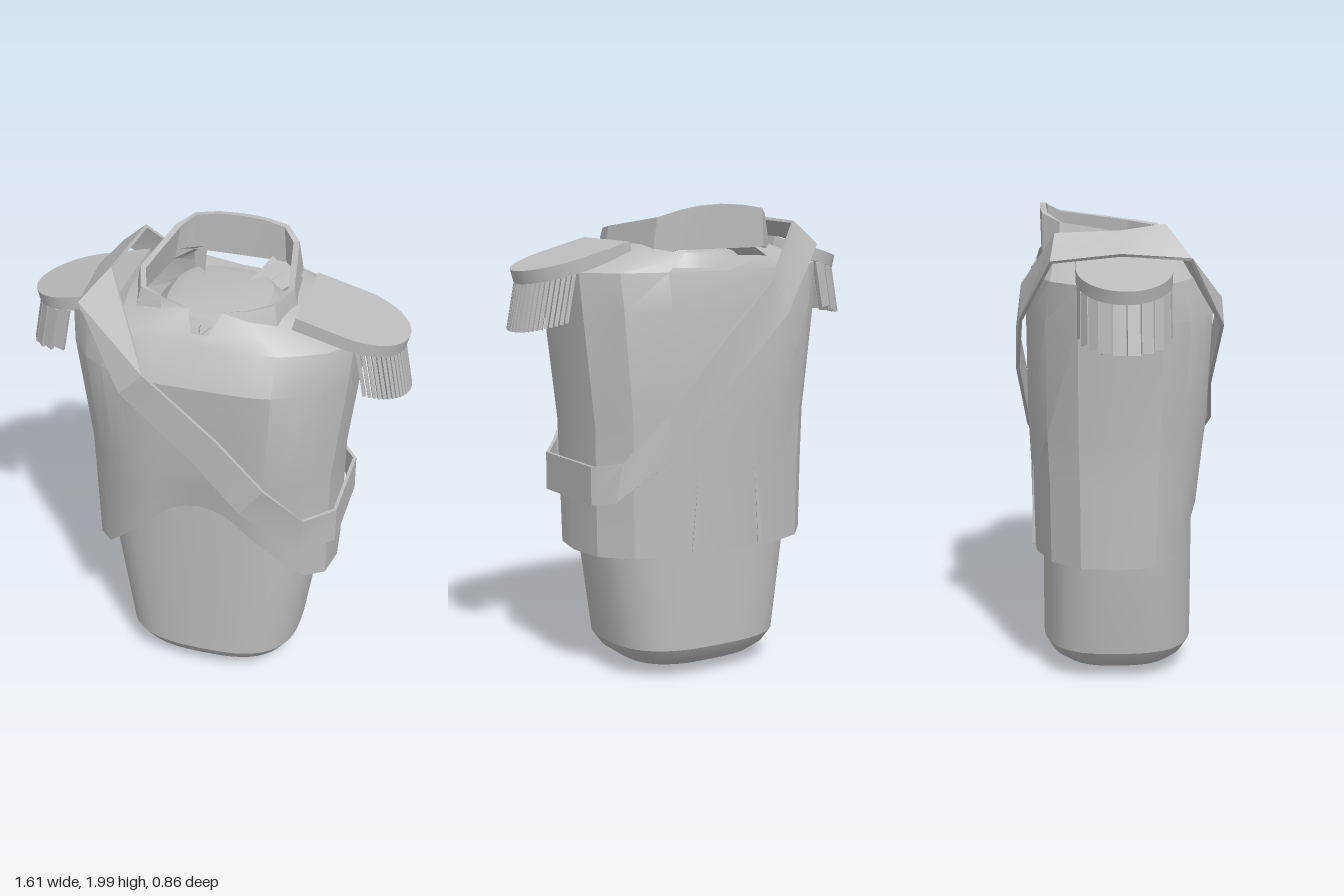
import * as THREE from 'three';
import { toCreasedNormals } from 'three/addons/utils/BufferGeometryUtils.js';

const cloth = new THREE.MeshStandardMaterial({ color: 0xbcbcbc, side: THREE.DoubleSide });
cloth.name = 'plain grey';

function part(name, geometry) {
  const mesh = new THREE.Mesh(geometry, cloth);
  mesh.name = name;
  return mesh;
}

// Skin over rows of points; each row has the same number of points
function skin(rows, wrapRow, wrapAll, crease) {
  const n = rows[0].length, m = rows.length, index = [];
  for (let i = 0; i < (wrapAll ? m : m - 1); i++) {
    for (let j = 0; j < (wrapRow ? n : n - 1); j++) {
      const k = (j + 1) % n, r = (i + 1) % m;
      const a = i * n + j, b = i * n + k, c = r * n + k, d = r * n + j;
      index.push(a, b, c, a, c, d);
    }
  }
  const g = new THREE.BufferGeometry();
  g.setAttribute('position', new THREE.Float32BufferAttribute(rows.flat(2), 3));
  g.setIndex(index);
  return toCreasedNormals(g, crease);
}

// Flat band with thickness between a lower and an upper edge
function band(stations, thickness, closed) {
  const pts = stations.map(([lo, hi]) => [new THREE.Vector3(...lo), new THREE.Vector3(...hi)]);
  const n = pts.length;
  const rows = pts.map(([lo, hi], i) => {
    const next = pts[closed ? (i + 1) % n : Math.min(i + 1, n - 1)];
    const prev = pts[closed ? (i + n - 1) % n : Math.max(i - 1, 0)];
    const along = next[0].clone().add(next[1]).sub(prev[0]).sub(prev[1]);
    const inward = along.cross(hi.clone().sub(lo)).normalize();
    const centre = lo.clone().add(hi).multiplyScalar(0.5).sub(new THREE.Vector3(0, 1.3, 0));
    inward.multiplyScalar(inward.dot(centre) > 0 ? -thickness : thickness);
    return [lo, hi, hi.clone().add(inward), lo.clone().add(inward)].map(p => p.toArray());
  });
  return skin(rows, true, closed, 0.3);
}

// Rounded body, from the domed base to the neck
function body() {
  const sections = [
    [0.008, 0.002, 0.002], [0.014, 0.12, 0.1], [0.03, 0.22, 0.18], [0.055, 0.3, 0.245], [0.09, 0.35, 0.29],
    [0.14, 0.385, 0.32], [0.6, 0.455, 0.32], [1.1, 0.485, 0.32], [1.5, 0.5, 0.31], [1.68, 0.43, 0.27],
    [1.74, 0.26, 0.25], [1.8, 0.205, 0.215], [1.815, 0.15, 0.15], [1.82, 0.002, 0.002],
  ];
  const power = v => Math.sign(v) * Math.abs(v) ** 0.72;
  return skin(sections.map(([y, w, d]) => Array.from({ length: 48 }, (_, i) => {
    const a = i / 48 * Math.PI * 2;
    return [w * power(Math.cos(a)), y, -d * power(Math.sin(a))];
  })), true, false, 0.45);
}

// Open jacket shell with an arched front hem and a notch at the throat
function jacket() {
  // Half outline from the front centre to the back: x, z, hem height
  const half = [
    [0, 1, 0.957], [0.11, 1, 0.947], [0.22, 1, 0.925], [0.32, 0.995, 0.88], [0.4, 0.985, 0.835], [0.52, 0.96, 0.78],
    [0.68, 0.84, 0.68], [0.82, 0.7, 0.6], [0.96, 0.42, 0.565], [1, 0, 0.56],
    [0.96, -0.45, 0.56], [0.76, -0.78, 0.56], [0.45, -0.95, 0.56], [0, -1, 0.56],
  ];
  const mirrored = half.slice(1, -1).reverse().map(([x, z, h]) => [-x, z, h]);
  const outline = [...half, ...mirrored];
  // Height, half width, front depth, back depth
  const sections = [
    [0.56, 0.535, 0.335, 0.365], [0.9, 0.54, 0.36, 0.37], [1.1, 0.543, 0.375, 0.38],
    [1.58, 0.6, 0.395, 0.385], [1.735, 0.61, 0.325, 0.36], [1.785, 0.47, 0.285, 0.345], [1.84, 0.32, 0.225, 0.31],
  ];
  return skin(sections.map(([y, w, f, b], row) => outline.map(([x, z, hem]) => {
    const depth = z > 0 ? f : b;
    if (row >= 5 && Math.abs(x) < 0.2) return [x * 0.32, row === 5 ? 1.765 : 1.775, row === 5 ? 0.305 : 0.298];
    const height = y < 1.2 ? hem + (y - 0.56) / 0.64 * (1.2 - hem) : y;
    return [x * w, height, z * depth];
  })), true, false, 0.45);
}

// Standing collar, open at the throat and highest at the back
function collar() {
  const half = [
    [[0.07, 1.82, 0.235], [0.07, 1.842, 0.22]],
    [[0.18, 1.82, 0.235], [0.18, 1.865, 0.215]],
    [[0.29, 1.8, 0.21], [0.275, 1.89, 0.19]],
    [[0.34, 1.79, 0.06], [0.32, 1.905, 0.06]],
    [[0.29, 1.8, -0.24], [0.265, 1.95, -0.24]],
    [[0.21, 1.82, -0.31], [0.2, 1.98, -0.31]],
    [[0.1, 1.82, -0.315], [0.1, 1.995, -0.32]],
  ];
  const flip = ([x, y, z]) => [-x, y, z];
  const other = half.map(s => s.map(flip)).reverse();
  return band([...half, [[0, 1.82, -0.315], [0, 2, -0.32]], ...other], 0.025, false);
}

// Diagonal sash from the right shoulder to the left hip and back
function sash() {
  return band([
    [[-0.52, 1.85, 0], [-0.41, 1.93, 0]],
    [[-0.51, 1.83, 0.28], [-0.4, 1.955, 0.18]],
    [[-0.3, 1.53, 0.43], [-0.2, 1.63, 0.43]],
    [[0, 1.23, 0.41], [0.1, 1.35, 0.41]],
    [[0.2, 1.03, 0.43], [0.3, 1.16, 0.43]],
    [[0.43, 0.81, 0.335], [0.45, 0.97, 0.335]],
    [[0.56, 0.79, 0.19], [0.56, 0.95, 0.19]],
    [[0.56, 0.79, -0.2], [0.56, 0.95, -0.2]],
    [[0.5, 0.81, -0.3], [0.47, 0.97, -0.3]],
    [[0.28, 0.99, -0.39], [0.3, 1.17, -0.39]],
    [[0, 1.3, -0.43], [0.06, 1.46, -0.43]],
    [[-0.27, 1.55, -0.41], [-0.2, 1.69, -0.4]],
    [[-0.51, 1.82, -0.28], [-0.4, 1.92, -0.26]],
  ], 0.015, true);
}

// Sloping shoulder board with a hanging fringe round its outer end
function epaulette(name, strips, fill) {
  const group = new THREE.Group();
  group.name = name;
  const shape = new THREE.Shape();
  shape.moveTo(0, -0.19);
  shape.lineTo(0.21, -0.19);
  shape.absellipse(0.21, 0, 0.23, 0.19, -Math.PI / 2, Math.PI / 2, false);
  shape.lineTo(0, 0.19);
  const board = new THREE.ExtrudeGeometry(shape, { depth: 0.055, bevelEnabled: false, curveSegments: 10 });
  board.rotateX(Math.PI / 2).rotateZ(-0.26).translate(0.36, 1.853, 0.01);
  group.add(part('shoulderBoard', toCreasedNormals(board, 0.5)));
  for (let i = 0; i < strips; i++) {
    const a = (i / (strips - 1) - 0.5) * 2.7;
    const x = 0.565 + 0.195 * Math.cos(a);
    const strip = new THREE.BoxGeometry(0.014, 0.2, fill / strips);
    strip.translate(0, -0.1, 0).rotateY(-a).rotateZ(0.19);
    strip.translate(x, 1.8 - 0.27 * (x - 0.36), 0.01 + 0.178 * Math.sin(a));
    group.add(part('fringeStrip', strip));
  }
  return group;
}

export function createModel() {
  const model = new THREE.Group();
  model.name = 'uniformedTorso';
  model.add(part('body', body()), part('jacket', jacket()), part('collar', collar()), part('sash', sash()));

  const left = epaulette('leftEpaulette', 26, 0.38);
  const right = epaulette('rightEpaulette', 10, 0.5);
  right.scale.x = -1;
  model.add(left, right);

  // Narrow pleats at the back of the jacket
  for (const s of [-1, 1]) {
    const pleat = new THREE.ConeGeometry(0.014, 0.42, 3);
    pleat.rotateZ(s * 0.08).translate(s * 0.15, 0.78, -0.36);
    model.add(part('backPleat', toCreasedNormals(pleat, 0.3)));
  }
  return model;
}
